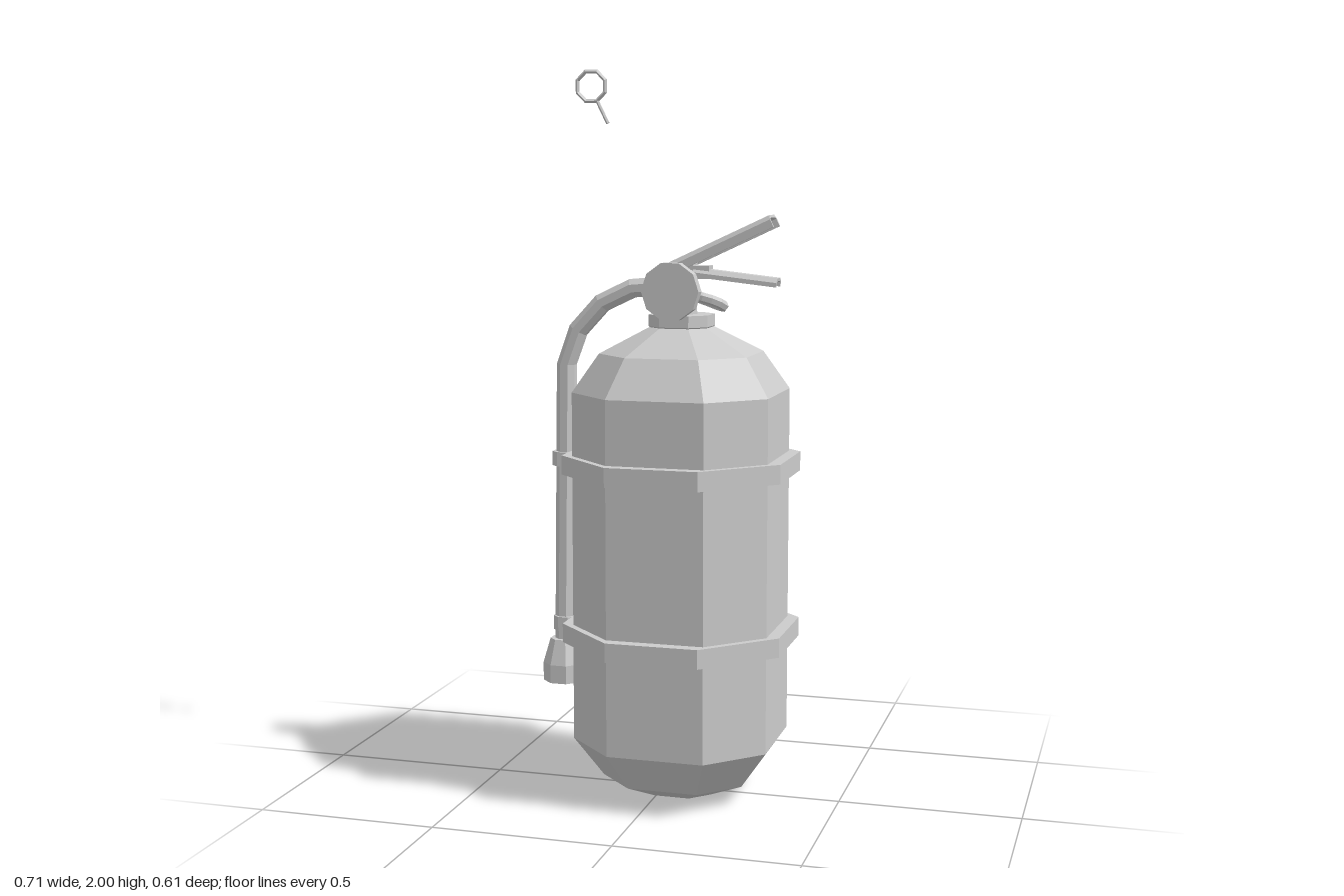
import * as THREE from 'three';

const CX = 0.048; // axis of the tank and valve
const metal = new THREE.MeshStandardMaterial({ color: 0xcccccc, flatShading: true, side: THREE.DoubleSide });

const v2 = ([x, y]) => new THREE.Vector2(x, y);
const v3 = (p) => new THREE.Vector3(...p);

// Eight-sided turned part; radii are measured to the flats, side is half a main flat / radius
function octagon(profile, side = 0.4142) {
  const pts = profile.map(([r, y]) => v2([r / Math.cos(Math.PI / 8), y]));
  const geo = new THREE.LatheGeometry(pts, 8, Math.PI / 8);
  const p = geo.attributes.position;
  const k = side / 0.4142;
  for (let i = 0; i < p.count; i++) {
    const x = p.getX(i), z = p.getZ(i);
    if (Math.abs(x) < Math.abs(z)) p.setX(i, x * k);
    else p.setZ(i, z * k);
  }
  return geo;
}

// Rod between two points
function rod(a, b, r, sides = 8) {
  const from = v3(a), dir = v3(b).sub(from);
  const geo = new THREE.CylinderGeometry(r, r, dir.length(), sides);
  geo.applyQuaternion(new THREE.Quaternion().setFromUnitVectors(new THREE.Vector3(0, 1, 0), dir.clone().normalize()));
  return geo.translate(...from.addScaledVector(dir, 0.5).toArray());
}

// U-section lever running along +x, open underneath, top at y = 0
function channel(length, width, height, wall) {
  const w = width / 2, c = 0.012, i = w - wall;
  const shape = new THREE.Shape([
    [-w, -height], [-i, -height], [-i, -c], [-i + c / 2, -wall], [i - c / 2, -wall], [i, -c],
    [i, -height], [w, -height], [w, -c], [w - c, 0], [-w + c, 0], [-w, -c],
  ].map(v2));
  return new THREE.ExtrudeGeometry(shape, { depth: length, bevelEnabled: false }).rotateY(Math.PI / 2);
}

export function createModel() {
  const model = new THREE.Group();
  model.name = 'fireExtinguisher';
  const add = (name, geo, x = 0, y = 0, z = 0, tilt = 0) => {
    const mesh = new THREE.Mesh(geo, metal);
    mesh.name = name;
    mesh.position.set(x, y, z);
    mesh.rotation.z = tilt;
    model.add(mesh);
    return mesh;
  };

  // Tank and neck collar
  add('tank', octagon([
    [0, 0], [0.1, 0.003], [0.198, 0.05], [0.2736, 0.16], [0.2736, 1.13],
    [0.206, 1.235], [0.082, 1.305], [0, 1.305],
  ], 0.49), CX);
  add('neckCollar', octagon([[0, 1.29], [0.075, 1.3], [0.083, 1.308], [0.083, 1.34], [0, 1.342]], 0.49), CX);

  // Two straps, each with a clip holding the hose
  [[0.902, 0.955], [0.43, 0.483]].forEach(([lo, hi]) => {
    add('strap', octagon([[0.262, lo], [0.307, lo], [0.307, hi], [0.262, hi], [0.262, lo]]), CX);
    const mid = (lo + hi) / 2;
    add('hoseClip', octagon([[0, -0.02], [0.034, -0.02], [0.034, 0.02], [0, 0.02]]), -0.291, mid);
    add('clipTab', new THREE.BoxGeometry(0.045, 0.036, 0.03), -0.25, mid);
  });

  // Valve body
  add('valveStem', new THREE.CylinderGeometry(0.036, 0.045, 0.1, 8), CX, 1.38);
  add('valveHead', new THREE.BoxGeometry(0.075, 0.09, 0.05), CX, 1.435);
  add('leverBracket', new THREE.BoxGeometry(0.08, 0.035, 0.045), 0.09, 1.455);
  add('valvePlug', rod([CX, 1.41, -0.077], [CX, 1.41, 0.01], 0.03));

  // Pressure gauge on a short pipe
  add('gaugePipe', rod([CX, 1.41, 0], [CX, 1.41, 0.09], 0.019));
  add('gauge', new THREE.CylinderGeometry(0.08, 0.08, 0.032, 10, 1, false, Math.PI / 2).rotateX(Math.PI / 2), CX - 0.002, 1.407, 0.101);

  // Small curled tube beside the gauge
  const curl = new THREE.CatmullRomCurve3([
    [0.06, 1.4, 0.055], [0.1, 1.395, 0.07], [0.145, 1.385, 0.068], [0.174, 1.37, 0.045],
    [0.165, 1.362, 0.012], [0.12, 1.375, -0.005], [0.06, 1.395, 0],
  ].map(v3));
  add('curledTube', new THREE.TubeGeometry(curl, 12, 0.014, 6));

  // Squeeze lever and carrying handle
  add('squeezeLever', channel(0.314, 0.085, 0.034, 0.008), 0.012, 1.478, 0, 0.434);
  add('carryHandle', channel(0.24, 0.06, 0.024, 0.008), 0.08, 1.468, 0, -0.11);

  // Hose with a nozzle at its end
  const hosePath = new THREE.CurvePath();
  const hosePoints = [
    [-0.296, 0.4, 0], [-0.285, 1.194, 0], [-0.25, 1.29, 0], [-0.18, 1.366, 0],
    [-0.092, 1.408, 0], [-0.03, 1.413, 0], [0.04, 1.413, 0],
  ].map(v3);
  for (let i = 1; i < hosePoints.length; i++) hosePath.add(new THREE.LineCurve3(hosePoints[i - 1], hosePoints[i]));
  const rings = [];
  hosePoints.forEach((p, i) => {
    const a = hosePoints[Math.max(i - 1, 0)], b = hosePoints[Math.min(i + 1, hosePoints.length - 1)];
    const t = b.clone().sub(a).normalize();
    const side = new THREE.Vector3(-t.y, t.x, 0);
    for (let k = 0; k <= 8; k++) {
      const ang = ((k + 0.5) / 8) * Math.PI * 2;
      rings.push(...p.clone().addScaledVector(side, 0.028 * Math.cos(ang)).setZ(0.028 * Math.sin(ang)).toArray());
    }
  });
  const faces = [];
  for (let i = 0; i < hosePoints.length - 1; i++) {
    for (let k = 0; k < 8; k++) {
      const a = i * 9 + k, b = a + 9;
      faces.push(a, b, a + 1, b, b + 1, a + 1);
    }
  }
  const hose = new THREE.BufferGeometry();
  hose.setAttribute('position', new THREE.Float32BufferAttribute(rings, 3));
  hose.setIndex(faces);
  hose.computeVertexNormals();
  // Winding check: the rule above must face outwards
  add('hose', hose);
  add('nozzle', octagon([[0, 0.288], [0.055, 0.288], [0.055, 0.34], [0.036, 0.41], [0, 0.412]]), -0.299);

  // Safety pin with pull ring, held clear above
  add('pinRing', new THREE.TorusGeometry(0.0425, 0.0058, 4, 8, Math.PI * 2).rotateZ(Math.PI / 8), -0.209, 1.955);
  add('pinShaft', rod([-0.192, 1.915, 0], [-0.162, 1.855, 0], 0.005, 6));

  return model;
}
